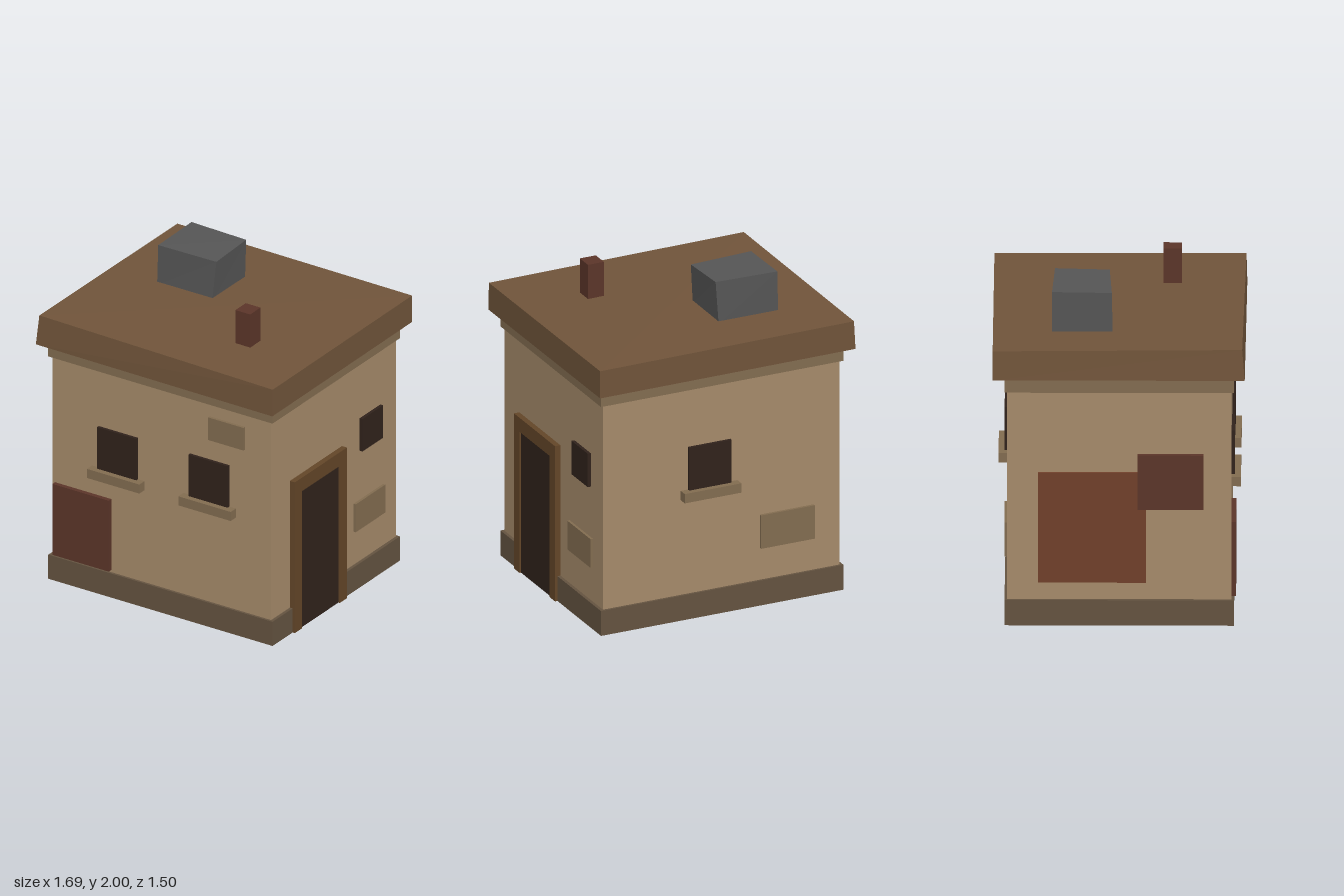
import * as THREE from 'three';

const mat = (color) => new THREE.MeshStandardMaterial({ color, flatShading: true });

export function createModel() {
  const group = new THREE.Group();
  group.name = 'house';
  const wall = mat(0xa58a6a), trim = mat(0x826c50), stone = mat(0x645340), roofMat = mat(0x70543a);
  const dark = mat(0x30221b), rust = mat(0x5b3529), rustLight = mat(0x70402a);
  const metal = mat(0x555555), wood = mat(0x634628);

  // Box given by its extents on each axis
  function box(name, material, [x0, x1], [y0, y1], [z0, z1]) {
    const mesh = new THREE.Mesh(new THREE.BoxGeometry(x1 - x0, y1 - y0, z1 - z0), material);
    mesh.position.set((x0 + x1) / 2, (y0 + y1) / 2, (z0 + z1) / 2);
    mesh.name = name;
    group.add(mesh);
    return mesh;
  }

  // Slightly crooked box: corners in order back-left, back-right, front-right, front-left
  function crookedBox(name, material, bottom, top) {
    const geo = new THREE.BoxGeometry(1, 1, 1);
    const p = geo.attributes.position;
    for (let i = 0; i < p.count; i++) {
      const right = p.getX(i) > 0, front = p.getZ(i) > 0;
      const corner = front ? (right ? 2 : 3) : (right ? 1 : 0);
      p.setXYZ(i, ...(p.getY(i) > 0 ? top : bottom)[corner]);
    }
    geo.computeVertexNormals();
    const mesh = new THREE.Mesh(geo, material);
    mesh.name = name;
    group.add(mesh);
  }

  // Walls, base and cornice
  box('walls', wall, [-0.78, 0.78], [0.02, 1.56], [-0.665, 0.665]);
  box('base', stone, [-0.8, 0.8], [0, 0.16], [-0.68, 0.68]);
  box('cornice', trim, [-0.8, 0.8], [1.475, 1.56], [-0.68, 0.68]);

  // Roof slab
  crookedBox('roof', roofMat,
    [[-0.845, 1.57, -0.75], [0.84, 1.565, -0.75], [0.845, 1.565, 0.75], [-0.845, 1.57, 0.745]],
    [[-0.835, 1.75, -0.75], [0.84, 1.74, -0.75], [0.845, 1.74, 0.745], [-0.83, 1.76, 0.73]]);

  // Rooftop unit and chimney
  crookedBox('rooftopUnit', metal,
    [[-0.505, 1.73, -0.4], [-0.115, 1.73, -0.395], [-0.115, 1.73, -0.045], [-0.505, 1.73, -0.04]],
    [[-0.5, 2, -0.4], [-0.1, 2, -0.385], [-0.095, 1.99, -0.06], [-0.5, 1.995, -0.045]]);
  box('chimney', rust, [0.325, 0.43], [1.72, 1.965], [0.255, 0.365]);

  // Windows with sills on the front (+1) and back (-1)
  for (const [x, s] of [[-0.31, 1], [0.342, 1], [0.08, -1]]) {
    const depth = (d) => (s > 0 ? [0.64, d] : [-d, -0.64]);
    box('window', dark, [x - 0.14, x + 0.14], [0.83, 1.105], depth(0.684));
    box('windowSill', trim, [x - 0.187, x + 0.187], [0.77, 0.83], depth(0.72));
  }
  box('sideWindow', dark, [0.74, 0.8], [0.89, 1.105], [-0.5, -0.28]);

  // Door with its frame
  box('doorJamb', wood, [0.74, 0.816], [0, 1], [0.39, 0.465]);
  box('doorJamb', wood, [0.74, 0.816], [0, 1], [-0.09, -0.015]);
  box('doorLintel', wood, [0.74, 0.816], [0.91, 1], [-0.015, 0.39]);
  box('door', dark, [0.74, 0.806], [0, 0.91], [-0.015, 0.39]);

  // Bare wall blocks
  box('wallBlock', trim, [0.342, 0.595], [1.24, 1.39], [0.64, 0.682]);
  box('wallBlock', trim, [0.74, 0.796], [0.38, 0.565], [-0.53, -0.215]);
  box('wallBlock', trim, [-0.61, -0.255], [0.365, 0.58], [-0.682, -0.64]);

  // Rusty patch panels
  box('frontPanel', rust, [-0.762, -0.36], [0.175, 0.645], [0.64, 0.693]);
  box('lowerSidePanel', rustLight, [-0.797, -0.74], [0.27, 0.965], [-0.48, 0.16]);
  box('upperSidePanel', rust, [-0.806, -0.74], [0.735, 1.08], [0.11, 0.5]);

  return group;
}
